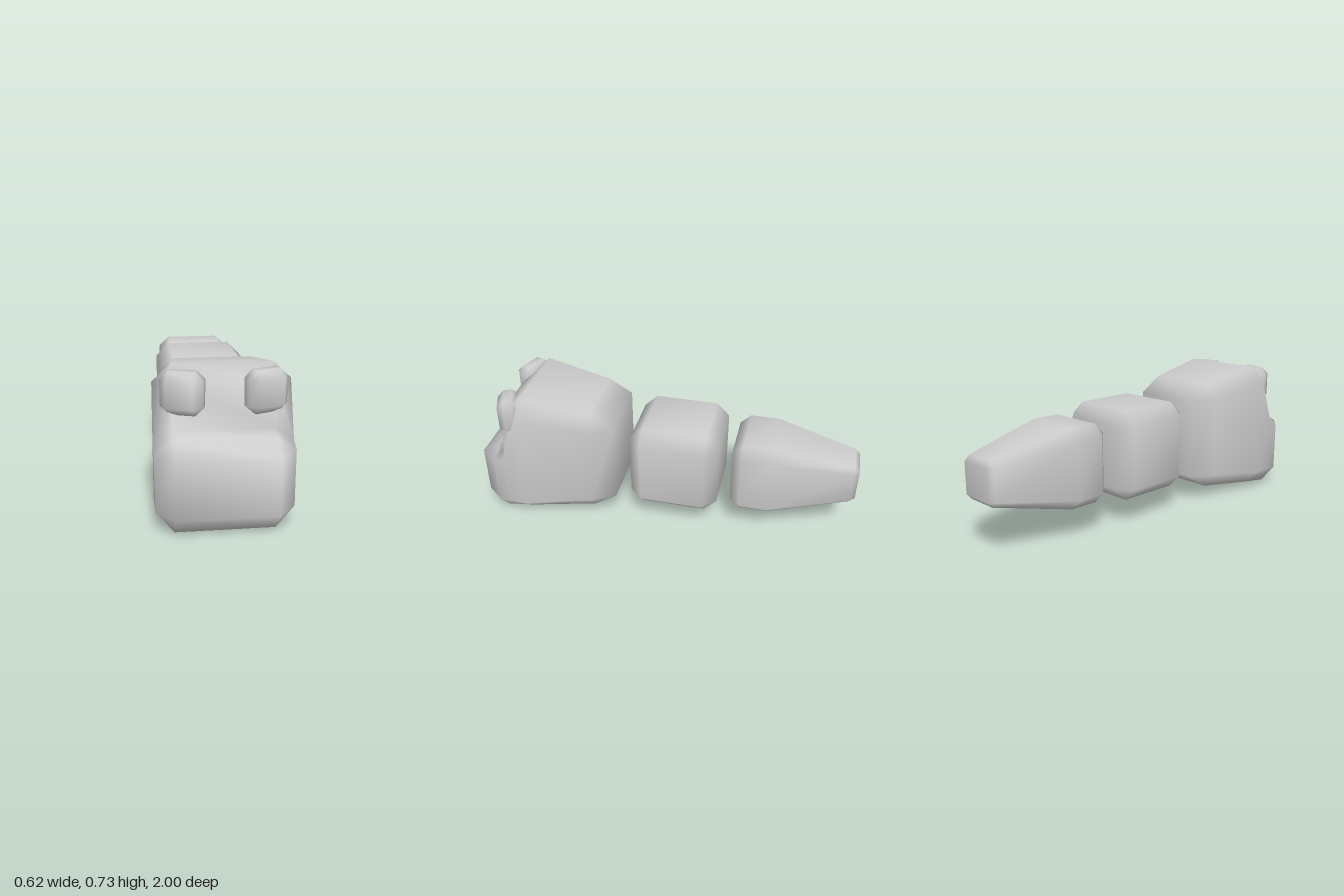
import * as THREE from 'three';
import { mergeVertices } from 'three/addons/utils/BufferGeometryUtils.js';

const material = new THREE.MeshStandardMaterial({ color: 0xcccccc });

// Cross-section with cut corners; a cap has no cut, so its corners coincide in pairs
function section(z, halfWidth, bottom, top, cutX = 0, cutY = cutX) {
  return profile(z, [
    [halfWidth - cutX, bottom], [halfWidth, bottom + cutY],
    [halfWidth, top - cutY], [halfWidth - cutX, top],
  ]);
}

// Mirror the right half (listed bottom to top) into a full ring
function profile(z, half) {
  const mirrored = half.map(([x, y]) => [-x, y]).reverse();
  return [...half, ...mirrored].map(([x, y]) => new THREE.Vector3(x, y, z));
}

// Join rings from front to back, close both ends, and share vertices for smooth normals
function loft(name, rings) {
  const positions = [];
  const triangle = (a, b, c) => {
    if (a.distanceTo(b) < 1e-5 || b.distanceTo(c) < 1e-5 || c.distanceTo(a) < 1e-5) return;
    for (const p of [a, b, c]) positions.push(p.x, p.y, p.z);
  };
  const count = rings[0].length;
  for (let r = 0; r < rings.length - 1; r++) {
    const front = rings[r], back = rings[r + 1];
    for (let i = 0; i < count; i++) {
      const j = (i + 1) % count;
      triangle(front[i], back[i], back[j]);
      triangle(front[i], back[j], front[j]);
    }
  }
  const first = rings[0], last = rings[rings.length - 1];
  for (let i = 1; i < count - 1; i++) {
    triangle(first[0], first[i], first[i + 1]);
    triangle(last[0], last[i + 1], last[i]);
  }
  let geometry = new THREE.BufferGeometry();
  geometry.setAttribute('position', new THREE.Float32BufferAttribute(positions, 3));
  geometry = mergeVertices(geometry, 1e-4);
  geometry.computeVertexNormals();
  const mesh = new THREE.Mesh(geometry, material);
  mesh.name = name;
  return mesh;
}

// Box with every edge cut, centred on its own origin
function cutBox(name, width, height, depth, cut) {
  const w = width / 2, h = height / 2, d = depth / 2;
  return loft(name, [
    section(d, w - cut, -h + cut, h - cut),
    section(d - cut, w, -h, h, cut),
    section(-d + cut, w, -h, h, cut),
    section(-d, w - cut, -h + cut, h - cut),
  ]);
}

export function createModel() {
  const model = new THREE.Group();
  model.name = 'segmentedCreature';

  // Head: snout, step up to the forehead, then taper to the neck
  model.add(loft('head', [
    section(1, 0.225, 0.1, 0.365),
    profile(0.9, [[0.225, 0], [0.308, 0.1], [0.308, 0.365], [0.225, 0.42]]),
    profile(0.845, [[0.225, 0.008], [0.308, 0.103], [0.308, 0.39], [0.225, 0.45]]),
    profile(0.845, [[0.225, 0.008], [0.308, 0.103], [0.308, 0.39], [0.225, 0.655]]),
    section(0.75, 0.308, 0.021, 0.725, 0.083, 0.078),
    section(0.39, 0.25, 0.07, 0.66, 0.06, 0.075),
    section(0.265, 0.19, 0.15, 0.585),
  ]));

  // Eyes, turned outward
  for (const side of [1, -1]) {
    const eye = cutBox(side > 0 ? 'leftEye' : 'rightEye', 0.19, 0.19, 0.115, 0.035);
    eye.position.set(side * 0.18, 0.617, 0.83);
    eye.rotation.y = side * 0.35;
    model.add(eye);
  }

  // Body segment
  const body = cutBox('body', 0.47, 0.47, 0.47, 0.068);
  body.position.set(0, 0.365, -0.053);
  model.add(body);

  // Tail segment, tapering to the rear
  model.add(loft('tail', [
    section(-0.355, 0.145, 0.215, 0.51),
    section(-0.41, 0.2, 0.16, 0.565, 0.055),
    section(-0.56, 0.2, 0.16, 0.565, 0.055),
    section(-0.975, 0.113, 0.26, 0.475, 0.028),
    section(-1, 0.088, 0.288, 0.447),
  ]));

  return model;
}
